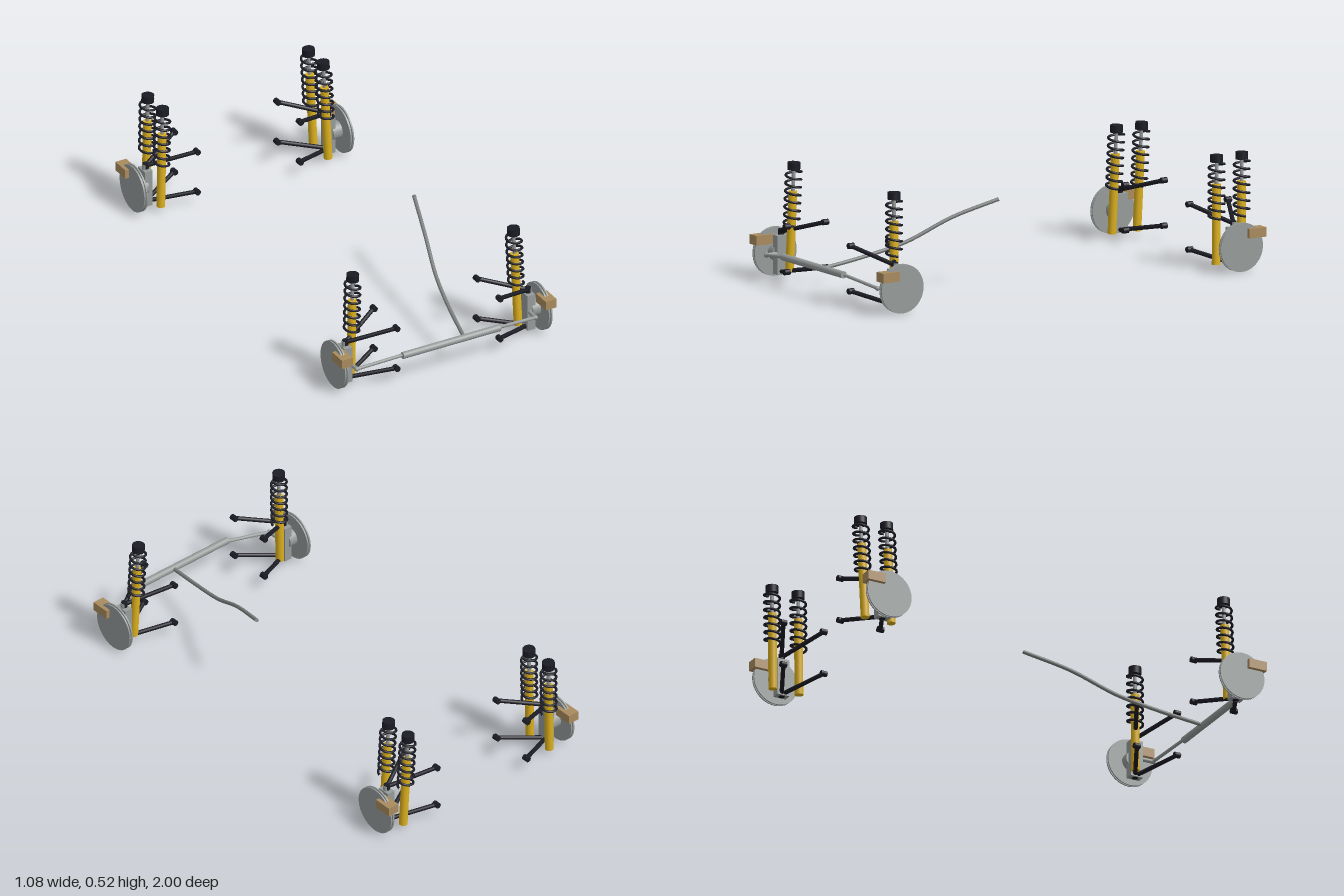
import * as THREE from 'three';

const mat = (name, color) => {
  const m = new THREE.MeshStandardMaterial({ color });
  m.name = name;
  return m;
};
const V = (x, y, z) => new THREE.Vector3(x, y, z);

export function createModel() {
  const metal = mat('light grey metal', 0x969b9a);
  const steel = mat('dark grey steel', 0x7d8180);
  const black = mat('black', 0x1b1b24);
  const yellow = mat('yellow', 0xdcb01e);
  const tan = mat('tan', 0xa98b5e);

  const model = new THREE.Group();
  model.name = 'suspensionAndSteering';

  const add = (parent, name, geo, material) => {
    const mesh = new THREE.Mesh(geo, material);
    mesh.name = name;
    parent.add(mesh);
    return mesh;
  };

  // Cylinder running from point a to point b
  const rod = (parent, name, a, b, r, material, sides = 20) => {
    const d = b.clone().sub(a);
    const mesh = add(parent, name, new THREE.CylinderGeometry(r, r, d.length(), sides), material);
    mesh.position.copy(a).add(b).multiplyScalar(0.5);
    mesh.quaternion.setFromUnitVectors(V(0, 1, 0), d.normalize());
    return mesh;
  };

  const box = (parent, name, size, pos, material) => {
    const mesh = add(parent, name, new THREE.BoxGeometry(...size), material);
    mesh.position.set(...pos);
    return mesh;
  };

  // Coil-over damper standing between its lower and upper mounts
  const damper = (parent, bottom, top) => {
    const g = new THREE.Group();
    g.name = 'damper';
    const len = top.distanceTo(bottom);
    const up = V(0, 1, 0);
    rod(g, 'damperBody', V(0, 0, 0), V(0, len * 0.735, 0), 0.019, yellow, 24);
    rod(g, 'pistonRod', V(0, len * 0.7, 0), V(0, len - 0.02, 0), 0.008, metal);
    rod(g, 'topMount', V(0, len - 0.033, 0), V(0, len, 0), 0.028, black, 24);
    const pts = [];
    const turns = 7, y0 = len * 0.42, y1 = len - 0.035;
    for (let i = 0; i <= turns * 14; i++) {
      const t = i / (turns * 14), a = t * turns * Math.PI * 2;
      pts.push(V(Math.cos(a) * 0.034, y0 + (y1 - y0) * t, Math.sin(a) * 0.034));
    }
    add(g, 'coilSpring', new THREE.TubeGeometry(new THREE.CatmullRomCurve3(pts), turns * 24, 0.0055, 8), black);
    g.position.copy(bottom);
    g.quaternion.setFromUnitVectors(up, top.clone().sub(bottom).normalize());
    parent.add(g);
  };

  // V-shaped control arm with two inner bushings
  const controlArm = (parent, name, s, z, yOuter, yInner) => {
    const g = new THREE.Group();
    g.name = name;
    const outer = V(s * 0.455, yOuter, z);
    for (const side of [-1, 1]) {
      const inner = V(s * 0.257, yInner, z + side * 0.099);
      rod(g, 'armTube', outer, inner, 0.0095, black, 16);
      rod(g, 'armBushing', inner.clone().add(V(0, 0, -0.014)), inner.clone().add(V(0, 0, 0.014)), 0.013, black);
    }
    rod(g, 'ballJoint', outer.clone().add(V(0, -0.012, 0)), outer.clone().add(V(0, 0.012, 0)), 0.014, black);
    parent.add(g);
  };

  // One wheel corner: s picks the side, z is the axle line
  const corner = (name, s, z, discX, caliperZ) => {
    const g = new THREE.Group();
    g.name = name;
    const y = 0.108;

    // Vented disc: two faces around a smaller core
    const disc = new THREE.Group();
    disc.name = 'brakeDisc';
    for (const off of [-0.006, 0.006]) {
      rod(disc, 'discFace', V(s * (discX + off - 0.0033), y, z), V(s * (discX + off + 0.0033), y, z), 0.108, metal, 48);
    }
    rod(disc, 'discCore', V(s * (discX - 0.004), y, z), V(s * (discX + 0.004), y, z), 0.1, steel, 48);
    g.add(disc);

    box(g, 'brakeCaliper', [0.054, 0.042, 0.086], [s * discX, 0.168, caliperZ], tan);
    rod(g, 'hub', V(s * 0.46, y, z), V(s * discX, y, z), 0.04, metal, 32);
    box(g, 'upright', [0.038, 0.172, 0.06], [s * 0.456, 0.102, z], metal);
    rod(g, 'uprightPin', V(s * 0.46, 0.18, z), V(s * 0.46, 0.212, z), 0.012, metal);

    controlArm(g, 'upperControlArm', s, z, 0.203, 0.266);
    controlArm(g, 'lowerControlArm', s, z, 0.026, 0.066);
    model.add(g);
    return g;
  };

  for (const s of [-1, 1]) {
    const side = s > 0 ? 'Left' : 'Right';

    // Front corner with one damper and the steering linkage
    const front = corner('front' + side + 'Corner', s, 0.857, 0.508, 0.925);
    damper(front, V(s * 0.417, 0.032, 0.838), V(s * 0.4, 0.514, 0.826));
    const tieEnd = V(s * 0.445, 0.108, 0.94);
    rod(front, 'steeringArm', V(s * 0.448, 0.108, 0.86), tieEnd, 0.009, metal, 16);
    rod(front, 'tieRod', tieEnd, V(s * 0.235, 0.138, 0.979), 0.0075, metal, 16);
    add(front, 'tieRodEnd', new THREE.SphereGeometry(0.011, 16, 12), metal).position.copy(tieEnd);

    // Rear corner with twin dampers
    const rear = corner('rear' + side + 'Corner', s, -0.886, 0.514, -0.957);
    for (const z of [-0.835, -0.964]) {
      damper(rear, V(s * 0.417, 0.022, z + 0.014), V(s * 0.4, 0.503, z));
    }
  }

  // Steering rack and column
  const steering = new THREE.Group();
  steering.name = 'steering';
  rod(steering, 'steeringRack', V(-0.242, 0.138, 0.983), V(0.242, 0.138, 0.983), 0.0155, metal, 24);
  const path = new THREE.CatmullRomCurve3([
    V(0.068, 0.138, 0.98), V(0.105, 0.178, 0.78), V(0.145, 0.228, 0.6),
    V(0.202, 0.325, 0.4), V(0.263, 0.394, 0.2),
  ]);
  add(steering, 'steeringColumn', new THREE.TubeGeometry(path, 48, 0.0085, 12), steel);
  const end = path.getPoint(1), dir = path.getTangent(1);
  rod(steering, 'columnEnd', end.clone().addScaledVector(dir, -0.006), end, 0.009, steel, 12);
  model.add(steering);

  return model;
}
